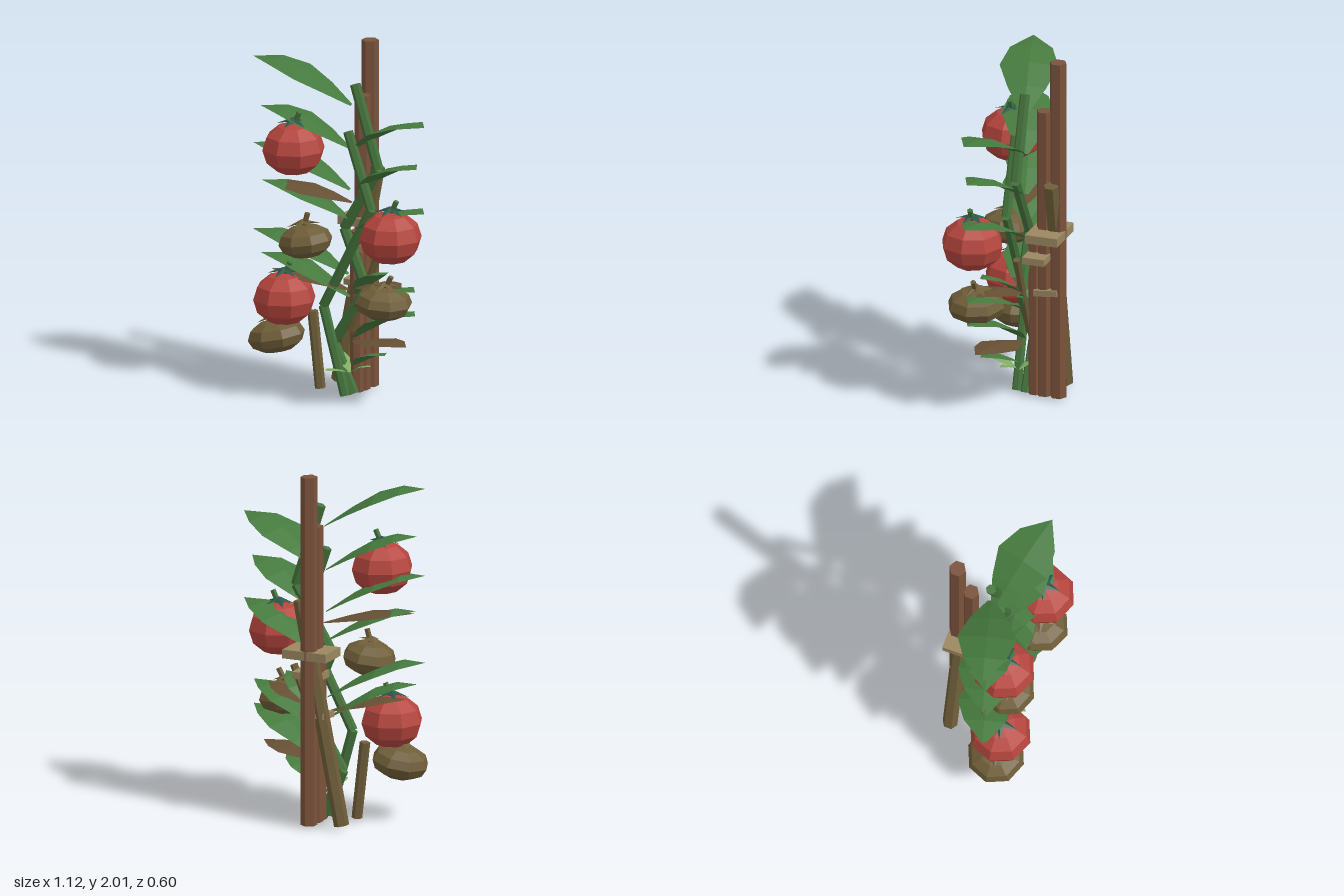
import * as THREE from 'three';

const mat = (color, side = THREE.FrontSide) =>
  new THREE.MeshStandardMaterial({ color, flatShading: true, side });
const M = {
  stake: mat(0x7a523b), dry: mat(0x6e5d38), dryLeaf: mat(0x665034, THREE.DoubleSide), tie: mat(0x9a8760),
  stem: mat(0x44733c), leaf: mat(0x467a3e, THREE.DoubleSide), sprout: mat(0x7dab5e, THREE.DoubleSide),
  red: mat(0xb5453d), calyx: mat(0x2a5548),
};
const V = (a) => new THREE.Vector3(...a);

export function createModel() {
  const root = new THREE.Group();
  const add = (name, geo, material, parent = root) => {
    const m = new THREE.Mesh(geo, material);
    m.name = name;
    parent.add(m);
    return m;
  };

  // Straight rod between two points
  const rod = (name, a, b, r, material, sides = 6, parent = root) => {
    const p = V(a), q = V(b), d = q.clone().sub(p);
    const m = add(name, new THREE.CylinderGeometry(r, r, d.length(), sides), material, parent);
    m.position.copy(p).add(q).multiplyScalar(0.5);
    m.quaternion.setFromUnitVectors(new THREE.Vector3(0, 1, 0), d.normalize());
    return m;
  };
  const zigzag = (name, z, r, pts, material) => {
    for (let i = 1; i < pts.length; i++)
      rod(name, [...pts[i - 1], z], [...pts[i], z], r, material);
  };

  // Arched pointed leaf: diamond cross-sections swept from base to tip
  const leaf = (name, base, tip, width, material) => {
    const b = V(base), d = V(tip).sub(b);
    const side = new THREE.Vector3(-d.z, 0, d.x).normalize();
    const widths = [0.12, 0.65, 1, 0.72, 0], pos = [], idx = [];
    widths.forEach((w, i) => {
      const t = i / 4;
      const c = b.clone().add(new THREE.Vector3(d.x * t, d.y * Math.sin(t * Math.PI / 2), d.z * t));
      const hw = w * width;
      for (const [s, h] of [[1, 0], [0, 0.13], [-1, 0], [0, -0.05]])
        pos.push(c.x + side.x * s * hw, c.y + h * hw, c.z + side.z * s * hw);
      if (i) for (let k = 0; k < 4; k++) {
        const a = (i - 1) * 4 + k, e = (i - 1) * 4 + (k + 1) % 4;
        idx.push(a, a + 4, e, e, a + 4, e + 4);
      }
    });
    const g = new THREE.BufferGeometry();
    g.setAttribute('position', new THREE.Float32BufferAttribute(pos, 3));
    g.setIndex(idx);
    g.computeVertexNormals();
    add(name, g, material);
  };

  // Fruit with star calyx and short stalk
  const fruit = (name, p, rx, ry, tilt, body, top) => {
    const g = new THREE.Group();
    g.name = name;
    g.position.set(...p);
    g.rotation.z = tilt;
    root.add(g);
    add(name + 'Body', new THREE.SphereGeometry(1, 8, 6).scale(rx, ry, rx), body, g);
    for (let i = 0; i < 5; i++) {
      const sepal = add('sepal', new THREE.ConeGeometry(0.028, 0.1, 4).scale(1, 1, 0.4)
        .rotateX(Math.PI / 2 + 0.3).translate(0, 0, 0.05), top, g);
      sepal.position.y = ry + 0.005;
      sepal.rotation.y = i * Math.PI * 0.4;
    }
    rod('fruitStalk', [0, ry - 0.02, 0], [0.04, ry + 0.065, 0], 0.016, body === M.red ? M.stem : M.dry, 5, g);
  };

  // Stakes, the leaning dead stalk and the dead vine
  rod('mainStake', [-0.01, 0, -0.25], [-0.01, 2, -0.25], 0.048, M.stake);
  rod('secondStake', [-0.01, 0, -0.17], [-0.01, 1.7, -0.17], 0.045, M.stake);
  rod('shortStake', [-0.01, 0, -0.11], [-0.01, 0.93, -0.11], 0.038, M.stake);
  rod('leaningStalk', [-0.2, 0.01, -0.225], [0.05, 1.28, -0.23], 0.043, M.dry);
  rod('deadStem', [-0.2, 0.01, -0.03], [-0.25, 0.45, -0.03], 0.03, M.dry);
  zigzag('deadVine', -0.07, 0.022, [[-0.03, 0.36], [0.17, 0.86]], M.dry);

  // Ties
  for (const [x, y, z, w, h, d, r] of [
    [0, 0.975, -0.2, 0.27, 0.05, 0.19, 0],
    [0.03, 0.835, -0.145, 0.17, 0.04, 0.13, 0],
    [-0.03, 0.625, -0.19, 0.15, 0.035, 0.14, 0.1],
  ]) {
    const t = add('tie', new THREE.BoxGeometry(w, h, d), M.tie);
    t.position.set(x, y, z);
    t.rotation.x = r;
  }

  // Green vines
  zigzag('backVine', -0.06, 0.03,
    [[0, 0], [-0.13, 0.28], [0.08, 0.62], [-0.06, 0.95], [0.16, 1.32], [0.01, 1.79]], M.stem);
  zigzag('frontVine', 0, 0.028,
    [[-0.02, 0], [-0.16, 0.5], [0.15, 1.1], [0, 1.53]], M.stem);

  // Green leaves: base x, base y, tip x, tip y, half width
  for (const [bx, by, tx, ty, w] of [
    [-0.01, 1.67, -0.56, 1.91, 0.165], [-0.02, 1.42, -0.51, 1.63, 0.15], [-0.02, 1.18, -0.56, 1.41, 0.16],
    [-0.02, 1.01, -0.5, 1.2, 0.14], [-0.03, 0.69, -0.56, 0.91, 0.16], [-0.02, 0.56, -0.51, 0.78, 0.14],
    [0.02, 1.43, 0.56, 1.66, 0.165], [0.04, 1.19, 0.51, 1.41, 0.15], [0.03, 0.94, 0.56, 1.16, 0.16],
    [0.02, 0.58, 0.3, 0.77, 0.1], [0.01, 0.5, 0.5, 0.7, 0.14], [0.01, 0.33, 0.5, 0.56, 0.15],
    [0.01, 0.17, 0.3, 0.3, 0.09],
  ]) leaf('leaf', [bx, by, -0.05], [tx, ty, 0.1], w, M.leaf);

  // Dead leaves
  for (const [bx, by, tx, ty] of [
    [0, 1.11, -0.5, 1.19], [-0.02, 0.6, -0.45, 0.69], [0.01, 0.31, 0.43, 0.365], [0.02, 0.62, 0.4, 0.7],
  ]) leaf('deadLeaf', [bx, by, -0.04], [tx, ty, 0.08], 0.12, M.dryLeaf);

  // Low sprout leaves
  leaf('sproutLeaf', [0, 0.13, -0.02], [0.17, 0.2, 0.03], 0.04, M.sprout);
  leaf('sproutLeaf', [0, 0.13, -0.02], [-0.17, 0.21, -0.15], 0.04, M.sprout);
  leaf('sproutLeaf', [0, 0.14, 0], [-0.05, 0.18, 0.17], 0.04, M.sprout);

  // Ripe and withered fruit
  for (const [x, y] of [[-0.28, 1.42], [0.355, 1.0], [-0.34, 0.545]])
    fruit('ripeFruit', [x, y, 0.125], 0.178, 0.15, 0, M.red, M.calyx);
  for (const [x, y, tilt, r] of [[-0.205, 0.895, 0.15, 0.155], [0.305, 0.615, -0.08, 0.165], [-0.395, 0.32, 0.2, 0.165]])
    fruit('witheredFruit', [x, y, 0.12], r, 0.095, tilt, M.dry, M.dry);

  return root;
}
